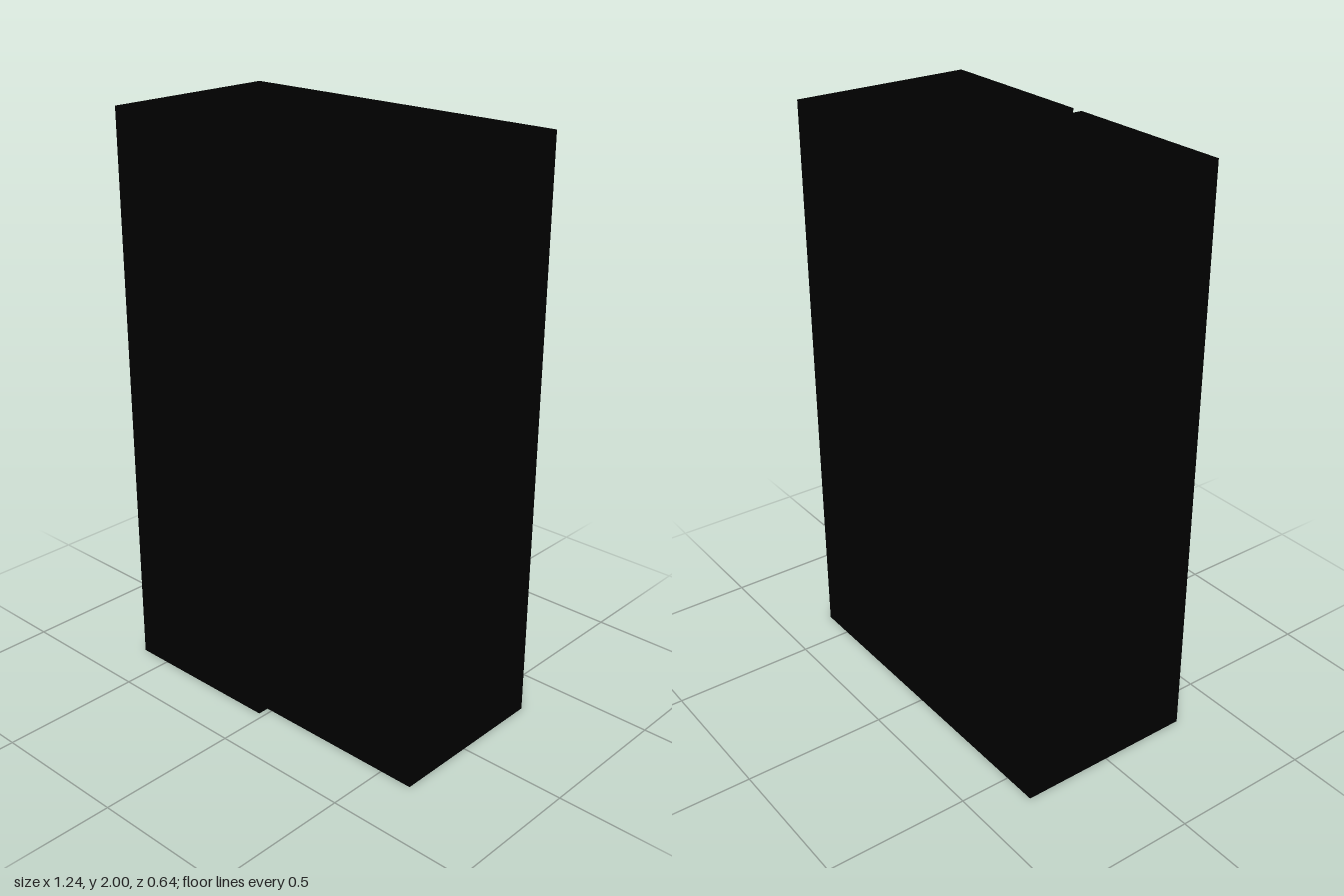
import * as THREE from 'three';

export function createModel() {
  const model = new THREE.Group();
  model.name = 'wardrobe';
  const black = new THREE.MeshStandardMaterial({ color: 0x000000 });

  // Box given by its limits on each axis
  function panel(name, x0, x1, y0, y1, z0, z1) {
    const mesh = new THREE.Mesh(new THREE.BoxGeometry(x1 - x0, y1 - y0, z1 - z0), black);
    mesh.position.set((x0 + x1) / 2, (y0 + y1) / 2, (z0 + z1) / 2);
    mesh.name = name;
    model.add(mesh);
  }

  // Cabinet and its two doors, the left one shortened above the drawers
  panel('cabinet', -0.62, 0.62, 0, 2, -0.32, 0.28);
  panel('rightDoor', -0.62, -0.02, 0, 2, 0.28, 0.32);
  panel('leftDoor', 0.02, 0.62, 0.65, 2, 0.28, 0.32);

  // Round drawer knobs, partly sunk into the recessed front
  const knobGeometry = new THREE.SphereGeometry(0.05, 32, 16);
  [0.15, 0.35, 0.55].forEach((y, i) => {
    const knob = new THREE.Mesh(knobGeometry, black);
    knob.position.set(0.28, y, 0.27);
    knob.name = `drawerKnob${i + 1}`;
    model.add(knob);
  });

  return model;
}
